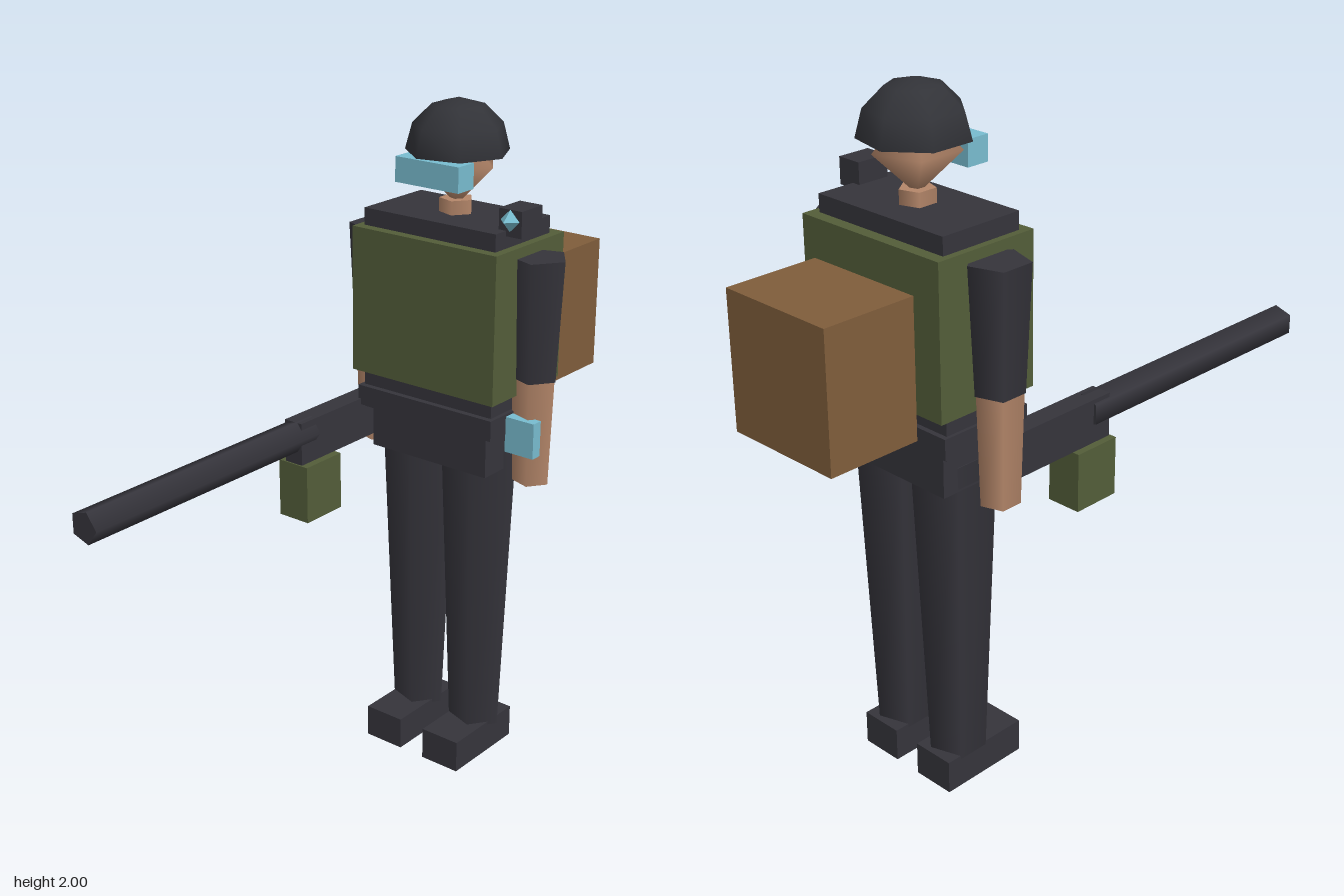
import * as THREE from 'three';

const material = (name, color) => {
  const m = new THREE.MeshStandardMaterial({ color });
  m.name = name;
  return m;
};

export function createModel() {
  const model = new THREE.Group();
  model.name = 'soldier';
  const cloth = material('dark cloth', 0x35343b);
  const helmetGrey = material('helmet grey', 0x323338);
  const green = material('olive green', 0x535d39);
  const brown = material('pack brown', 0x7f5d3b);
  const skin = material('skin', 0xb5876a);
  const cyan = material('cyan glass', 0x78bccf);

  const CX = -0.012, CZ = -0.375; // body axis

  const add = (name, geometry, mat, x, y, z) => {
    const mesh = new THREE.Mesh(geometry, mat);
    mesh.name = name;
    mesh.position.set(x, y, z);
    model.add(mesh);
    return mesh;
  };
  // Box given by its limits on each axis
  const box = (name, mat, [x0, x1], [y0, y1], [z0, z1]) =>
    add(name, new THREE.BoxGeometry(x1 - x0, y1 - y0, z1 - z0), mat,
      (x0 + x1) / 2, (y0 + y1) / 2, (z0 + z1) / 2);
  // Upright five-sided limb with one corner towards +x
  const limb = (name, mat, x, y0, y1, rBottom, rTop) =>
    add(name, new THREE.CylinderGeometry(rTop, rBottom, y1 - y0, 5, 1, false, Math.PI / 2),
      mat, x, (y0 + y1) / 2, CZ);

  // Torso
  box('torso', cloth, [-0.24, 0.215], [1.08, 1.68], [-0.505, -0.245]);
  box('vest', green, [-0.26, 0.24], [1.2, 1.63], [-0.54, -0.215]);
  box('belt', cloth, [-0.25, 0.228], [1.09, 1.15], [-0.52, -0.227]);
  box('hips', cloth, [-0.215, 0.193], [0.96, 1.1], [-0.495, -0.255]);
  box('backpack', brown, [-0.194, 0.172], [1.143, 1.533], [-0.842, -0.562]);

  // Limbs, mirrored about the body axis
  for (const [side, s] of [['left', 1], ['right', -1]]) {
    const legX = CX + s * 0.108, armX = CX + s * 0.284;
    limb(side + 'Leg', cloth, legX, 0.09, 1.03, 0.082, 0.12);
    box(side + 'Boot', cloth, [legX - 0.065, legX + 0.065], [0, 0.1], [-0.47, -0.19]);
    limb(side + 'UpperArm', cloth, armX, 1.25, 1.6, 0.068, 0.084);
    limb(side + 'Forearm', skin, armX, 0.937, 1.26, 0.055, 0.065);
  }

  // Head, helmet and visor
  limb('neck', skin, CX, 1.64, 1.72, 0.05, 0.05);
  add('head', new THREE.SphereGeometry(0.12, 5, 2).rotateY(Math.PI), skin, CX, 1.82, CZ);
  add('helmet', new THREE.SphereGeometry(0.15, 7, 3, 0, Math.PI * 2, 0, Math.PI / 2).rotateY(Math.PI),
    helmetGrey, CX, 1.85, CZ);
  add('helmetBase', new THREE.CircleGeometry(0.15, 7).rotateX(Math.PI / 2), helmetGrey, CX, 1.85, CZ);
  box('visor', cyan, [-0.118, 0.098], [1.775, 1.847], [-0.3, -0.23]);

  // Shoulder lamp and wrist display
  box('shoulderLamp', cloth, [0.19, 0.265], [1.665, 1.74], [-0.39, -0.293]);
  add('lampLens', new THREE.OctahedronGeometry(0.031), cyan, 0.228, 1.71, -0.291);
  box('wristDisplay', cyan, [0.227, 0.323], [1.037, 1.143], [-0.335, -0.3]);

  // Rifle
  box('rifleBody', cloth, [-0.302, -0.24], [0.98, 1.108], [-0.3, 0.04]);
  add('rifleBarrel',
    new THREE.CylinderGeometry(0.048, 0.048, 0.865, 5, 1, false, Math.PI / 2).rotateX(Math.PI / 2),
    cloth, -0.271, 1.065, 0.4095);
  box('rifleMagazine', green, [-0.323, -0.217], [0.807, 0.98], [-0.104, 0.045]);

  return model;
}
